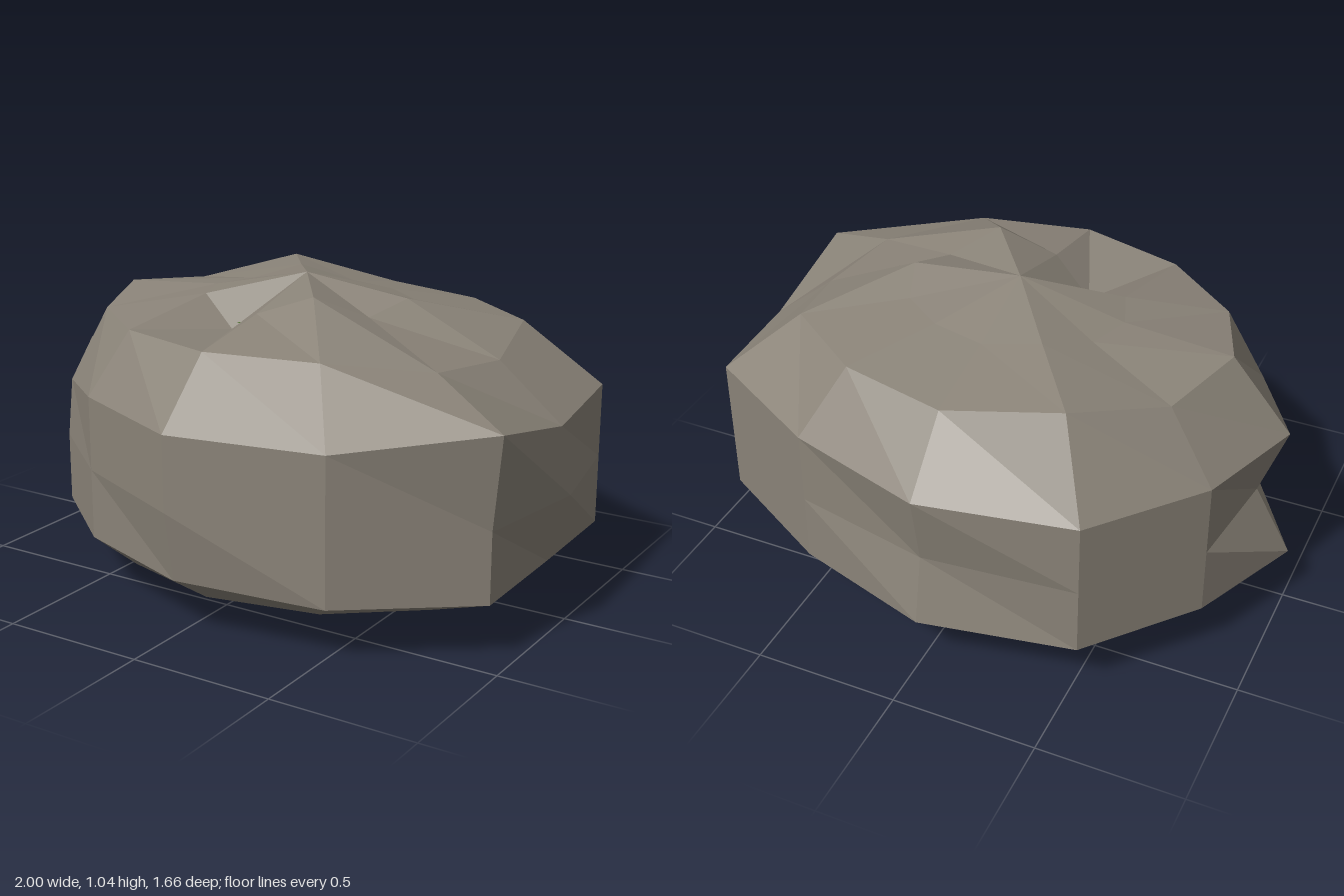
import * as THREE from 'three';

const SIDES = 12;

// Upright profile: [radius, height, how strongly the outline shows], top to bottom
const profile = [
  [0, 1.045, 0], [0.38, 0.96, 0.3], [0.76, 0.9, 0.3], [1, 0.685, 1], [1, 0.43, 1],
  [1, 0.19, 1], [0.76, 0.07, 0.3], [0.38, 0.02, 0.3], [0, 0.025, 0],
];

// Uneven outline, going round from +x through +z
const outline = [0.93, 1.08, 1.06, 1.04, 0.91, 0.9, 0.96, 0.95, 1.05, 1.03, 0.97, 1.06];

// Chips and bumps: [row, side, outward shift, upward shift]
const chips = [
  [1, 0, 0.02, 0.04], [1, 2, 0.02, 0.075], [1, 4, -0.05, -0.09], [1, 8, 0.02, 0.04],
  [2, 0, -0.01, -0.06], [2, 1, 0, -0.04], [2, 8, 0.03, 0.07], [2, 6, 0, 0.03],
  [3, 0, 0.03, -0.03], [3, 1, 0.04, 0.06], [3, 5, -0.02, -0.05],
  [4, 0, 0.07, 0], [4, 6, -0.09, 0], [4, 9, -0.06, 0],
  [5, 6, 0.04, 0.01], [5, 3, -0.05, 0], [6, 6, 0.1, -0.035], [7, 2, 0, -0.02],
];

// Low-poly boulder: a coarse sphere reshaped by profile, outline and chips
function boulderGeometry() {
  const rows = profile.length - 1;
  const geo = new THREE.SphereGeometry(1, SIDES, rows);
  const pos = geo.attributes.position;
  for (let row = 0; row <= rows; row++) {
    for (let col = 0; col <= SIDES; col++) {
      const side = (SIDES * 1.5 - col) % SIDES;
      const angle = (side / SIDES) * Math.PI * 2;
      const [radius, height, strength] = profile[row];
      let r = radius * outline[side] ** strength;
      let y = height;
      for (const [chipRow, chipSide, out, up] of chips) {
        if (chipRow === row && chipSide === side) {
          r += out;
          y += up;
        }
      }
      pos.setXYZ(row * (SIDES + 1) + col, r * Math.cos(angle), y, r * 0.8 * Math.sin(angle));
    }
  }
  const flat = geo.toNonIndexed();
  flat.computeVertexNormals();
  return flat;
}

export function createModel() {
  const group = new THREE.Group();
  group.name = 'rock';

  const boulder = new THREE.Mesh(
    boulderGeometry(),
    new THREE.MeshStandardMaterial({ color: 0x8a8378, flatShading: true }),
  );
  boulder.name = 'boulder';
  group.add(boulder);

  // Thin moss layer that only peeks out of the hollow on top
  const moss = new THREE.Mesh(
    new THREE.CylinderGeometry(0.27, 0.25, 0.03, SIDES),
    new THREE.MeshStandardMaterial({ color: 0x5f8a3a, flatShading: true }),
  );
  moss.name = 'moss';
  moss.scale.z = 0.85;
  moss.position.set(-0.02, 0.875, 0);
  group.add(moss);

  return group;
}
